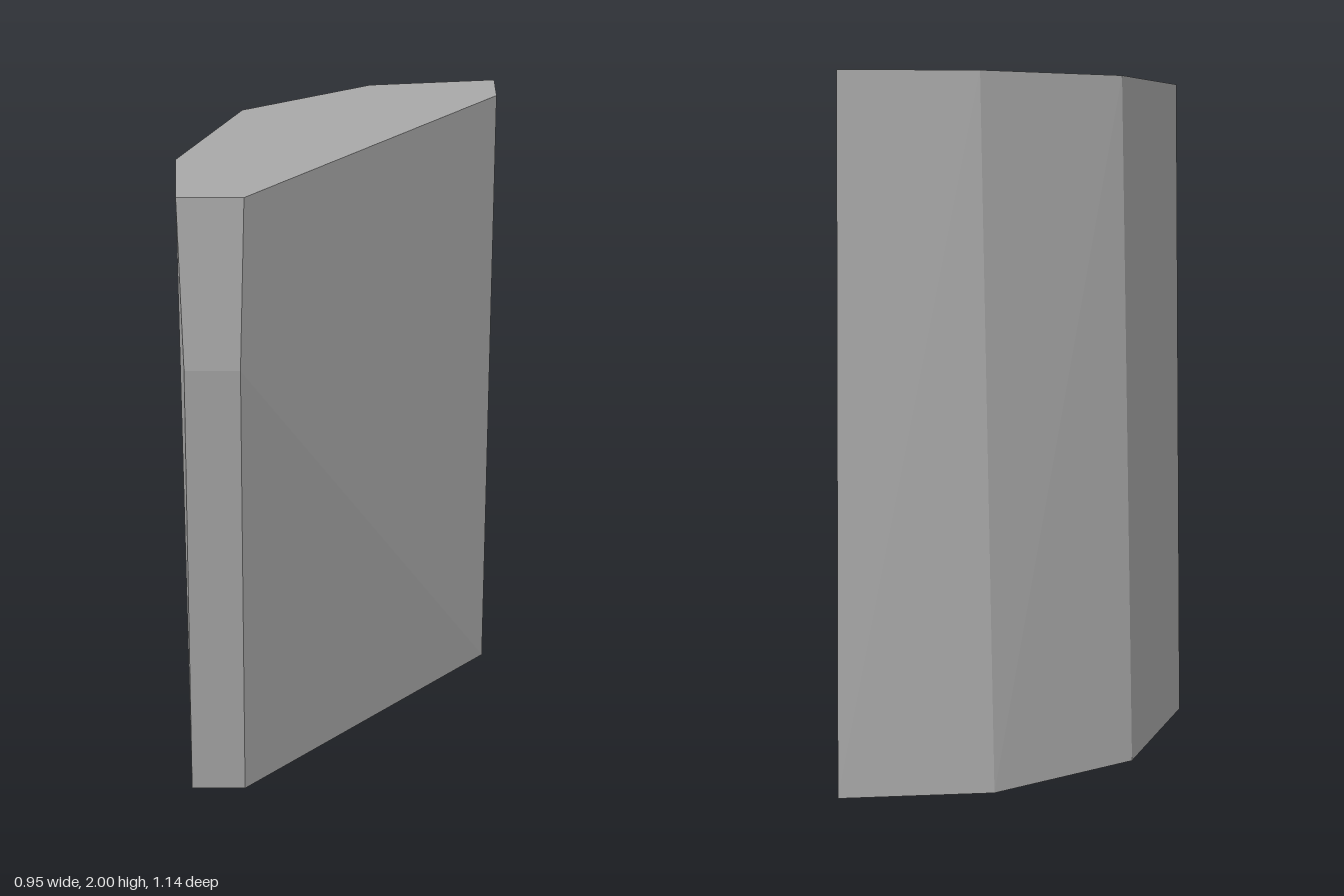
import * as THREE from 'three';
import { ConvexGeometry } from 'three/addons/geometries/ConvexGeometry.js';

export function createModel() {
  const stone = new THREE.MeshStandardMaterial({ color: 0xa8a8a8 });
  stone.name = 'grey stone';

  // Outlines [x, z] of the faceted slab at each height
  const sections = [
    // base
    { y: 0, outline: [[-0.475, 0.335], [-0.31, 0.335], [0.475, -0.405], [0.465, -0.57], [0.035, -0.482], [-0.34, -0.177]] },
    // chin where the front edge starts to slope back
    { y: 1.535, outline: [[-0.41, 0.57], [-0.265, 0.57]] },
    // flat top
    { y: 2, outline: [[-0.41, 0.57], [-0.243, 0.57], [0.44, -0.357], [0.445, -0.532], [0.07, -0.47], [-0.295, -0.198], [-0.44, 0.267]] },
  ];
  const corners = sections.flatMap(({ y, outline }) =>
    outline.map(([x, z]) => new THREE.Vector3(x, y, z)));

  // The hull of the corners gives the flat facets
  const slab = new THREE.Mesh(new ConvexGeometry(corners), stone);
  slab.name = 'rockSlab';

  const group = new THREE.Group();
  group.name = 'rock';
  group.add(slab);
  return group;
}
